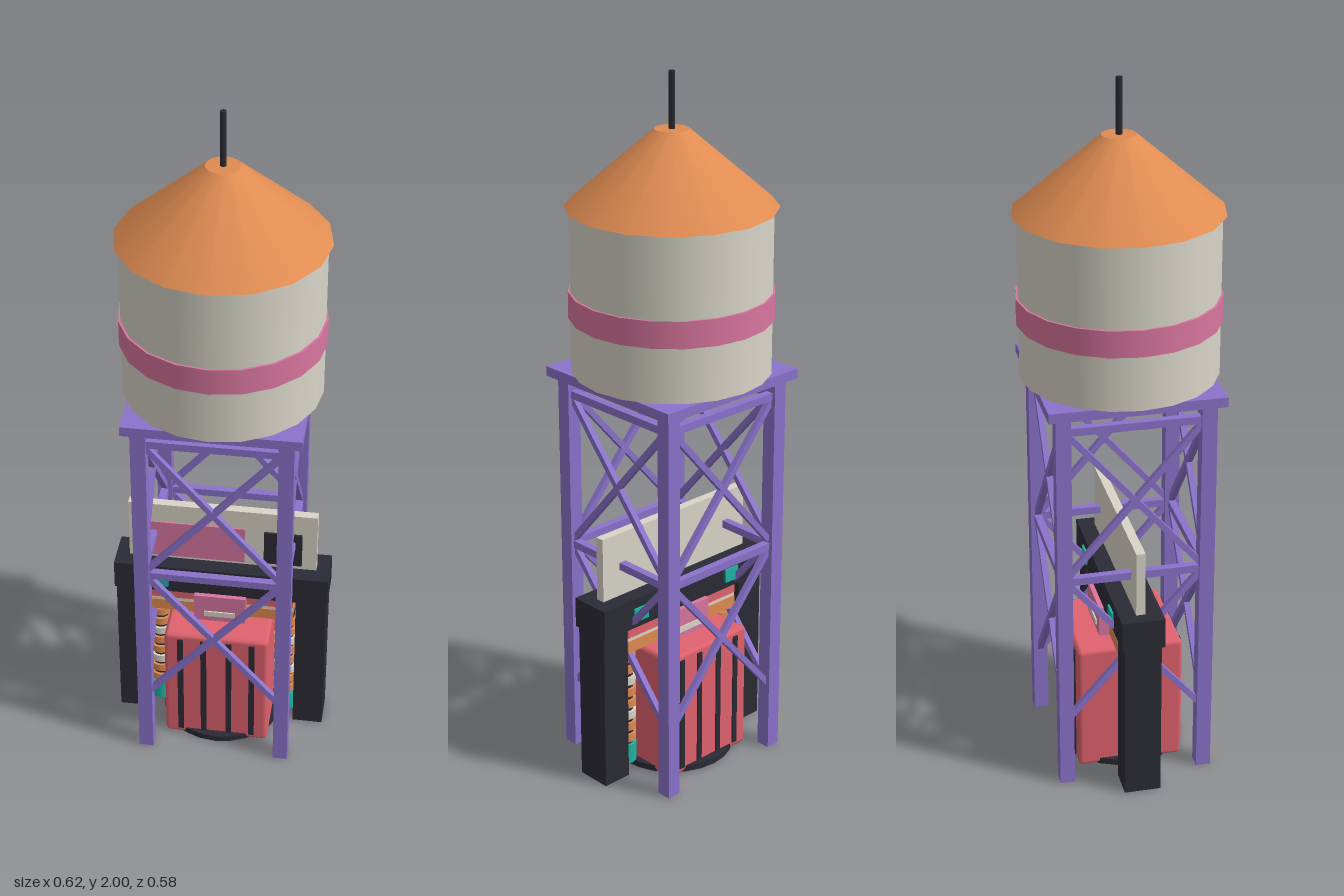
import * as THREE from 'three';
import { RoundedBoxGeometry } from 'three/addons/geometries/RoundedBoxGeometry.js';

const material = (name, color) => {
  const m = new THREE.MeshStandardMaterial({ color });
  m.name = name;
  return m;
};

export function createModel() {
  const purple = material('purple steel', 0x8b73cc);
  const orange = material('orange', 0xe08c52);
  const cream = material('cream', 0xd9d5c8);
  const pink = material('pink', 0xd9769f);
  const coral = material('coral red', 0xe0626e);
  const dark = material('charcoal', 0x2b2b35);
  const teal = material('teal', 0x1fb5a5);

  const model = new THREE.Group();
  model.name = 'waterTower';
  const group = (name) => {
    const g = new THREE.Group();
    g.name = name;
    model.add(g);
    return g;
  };
  const add = (parent, name, geometry, mat, x = 0, y = 0, z = 0) => {
    const mesh = new THREE.Mesh(geometry, mat);
    mesh.name = name;
    mesh.position.set(x, y, z);
    parent.add(mesh);
    return mesh;
  };
  // Box given by its centre in x and z and its bottom and top heights
  const box = (parent, name, mat, w, y0, y1, d, x = 0, z = 0) =>
    add(parent, name, new THREE.BoxGeometry(w, y1 - y0, d), mat, x, (y0 + y1) / 2, z);
  const drum = (parent, name, mat, rTop, rBottom, y0, y1, sides, x = 0, z = 0) =>
    add(parent, name, new THREE.CylinderGeometry(rTop, rBottom, y1 - y0, sides), mat, x, (y0 + y1) / 2, z);

  // Tank, painted band, conical roof and mast
  const tank = group('tank');
  drum(tank, 'tankBody', cream, 0.275, 0.275, 1.18, 1.64, 20);
  drum(tank, 'tankBand', pink, 0.281, 0.281, 1.335, 1.41, 20);
  drum(tank, 'roof', orange, 0.047, 0.288, 1.638, 1.847, 16);
  drum(tank, 'mast', dark, 0.009, 0.009, 1.84, 2, 6);

  // Platform, legs and cross-braced sides
  const tower = group('tower');
  box(tower, 'platform', purple, 0.487, 1.152, 1.18, 0.487);
  for (const x of [-0.2, 0.2]) for (const z of [-0.2, 0.2])
    box(tower, 'leg', purple, 0.042, 0, 1.155, 0.042, x, z);

  const strut = (parent, a, b, t) => {
    const from = new THREE.Vector3(...a), to = new THREE.Vector3(...b);
    const length = from.distanceTo(to);
    const m = add(parent, 'brace', new THREE.BoxGeometry(t, length, t), purple);
    m.position.copy(from).add(to).multiplyScalar(0.5);
    m.quaternion.setFromUnitVectors(new THREE.Vector3(0, 1, 0), to.sub(from).normalize());
  };
  for (let i = 0; i < 4; i++) {
    const side = new THREE.Group();
    side.name = 'bracedSide';
    side.rotation.y = i * Math.PI / 2;
    tower.add(side);
    for (const y of [1.105, 0.65]) {
      strut(side, [-0.19, y, 0.2], [0.19, y, 0.2], 0.022);
      strut(side, [-0.195, y, 0.2], [0.195, y - 0.45, 0.2], 0.017);
      strut(side, [0.195, y, 0.2], [-0.195, y - 0.45, 0.2], 0.017);
    }
  }

  // Dark gantry with lamps on both faces
  const gantry = group('gantry');
  box(gantry, 'beam', dark, 0.622, 0.472, 0.56, 0.122);
  for (const x of [-1, 1]) {
    box(gantry, 'post', dark, 0.088, 0, 0.475, 0.104, x * 0.263);
    for (const z of [-1, 1])
      box(gantry, 'lamp', teal, 0.05, 0.492, 0.532, 0.008, x * 0.177, z * 0.063);
  }

  // Sign board on the gantry
  const sign = group('sign');
  box(sign, 'board', cream, 0.545, 0.555, 0.75, 0.026);
  box(sign, 'pinkPanel', pink, 0.305, 0.57, 0.69, 0.006, -0.088, 0.015);
  box(sign, 'darkPanel', dark, 0.11, 0.575, 0.685, 0.008, 0.175, 0.016);

  // Ribbed cabinet standing on a round base
  const cabinet = group('cabinet');
  drum(cabinet, 'base', dark, 0.178, 0.178, 0.002, 0.02, 24);
  add(cabinet, 'cabinetBody', new RoundedBoxGeometry(0.305, 0.385, 0.305, 1, 0.013), coral, 0, 0.1935, 0);
  for (const x of [-0.105, -0.037, 0.037, 0.105])
    for (const z of [-1, 1])
      box(cabinet, 'slot', dark, 0.017, 0.02, 0.37, 0.006, x, z * 0.153);

  // Stacked rails and housing over the cabinet
  const head = group('head');
  box(head, 'upperRail', coral, 0.42, 0.435, 0.472, 0.09);
  box(head, 'creamRail', cream, 0.42, 0.424, 0.435, 0.085);
  box(head, 'lowerRail', orange, 0.42, 0.388, 0.424, 0.09);
  box(head, 'housing', pink, 0.15, 0.385, 0.476, 0.15);
  for (const z of [-1, 1])
    box(head, 'housingPlate', cream, 0.09, 0.405, 0.422, 0.006, 0, z * 0.076);

  // Banded vertical rollers beside the cabinet
  for (const x of [-0.187, 0.187]) {
    const roller = group('roller');
    drum(roller, 'rollerFoot', teal, 0.034, 0.034, 0.02, 0.08, 12, x);
    drum(roller, 'rollerCore', dark, 0.026, 0.026, 0.08, 0.39, 12, x);
    for (let i = 0; i < 8; i++) {
      const y = 0.09 + i * 0.037;
      drum(roller, 'rollerBand', i % 3 === 2 ? cream : orange, 0.034, 0.034, y, y + 0.024, 12, x);
    }
  }
  return model;
}
